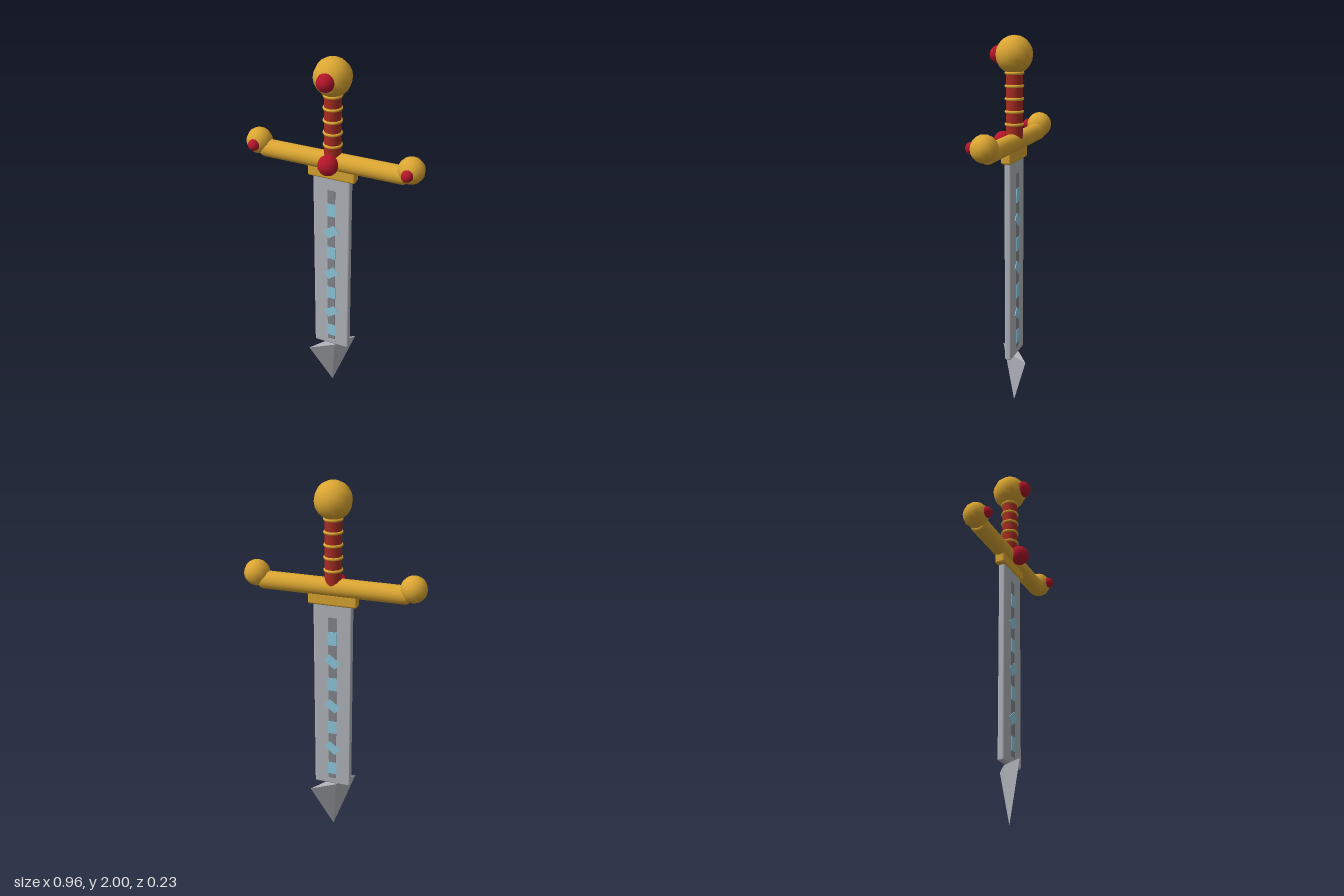
import * as THREE from 'three';
import { RoundedBoxGeometry } from 'three/addons/geometries/RoundedBoxGeometry.js';

const mat = (color) => new THREE.MeshStandardMaterial({ color });

export function createModel() {
  const sword = new THREE.Group();
  sword.name = 'sword';
  const gold = mat(0xdba632), red = mat(0xb3152a), leather = mat(0xa82c22);
  const steel = mat(0xb2b6bd), darkSteel = mat(0x85888f), blue = mat(0x8fcbe0);
  const Z = -0.014; // depth of the sword's axis

  const add = (name, geometry, material, x, y, z = Z) => {
    const mesh = new THREE.Mesh(geometry, material);
    mesh.name = name;
    mesh.position.set(x, y, z);
    sword.add(mesh);
    return mesh;
  };
  const ball = (name, r, material, x, y, z) =>
    add(name, new THREE.SphereGeometry(r, 12, 10), material, x, y, z);

  // Blade with a raised central strip on both faces
  add('blade', new RoundedBoxGeometry(0.206, 1.1, 0.037, 2, 0.01), steel, 0, 0.84);
  add('fuller', new RoundedBoxGeometry(0.046, 0.98, 0.041, 1, 0.004), darkSteel, 0, 0.82);

  // Inlaid tiles, every second one turned
  for (let i = 0; i < 7; i++) {
    const tile = add('inlayTile', new THREE.BoxGeometry(0.049, 0.075, 0.045), blue, 0, 1.192 - i * 0.1325);
    if (i % 2) tile.rotation.z = -0.9;
  }

  // Flattened four-sided point, set diagonally to the blade
  const point = new THREE.ConeGeometry(0.143, 0.29, 4).toNonIndexed();
  point.computeVertexNormals();
  point.rotateX(Math.PI);
  point.scale(1, 1, 0.2);
  point.rotateY(Math.PI / 4);
  add('bladePoint', point, steel, 0, 0.145);

  // Collar and crossguard with bevelled ends
  add('collar', new RoundedBoxGeometry(0.26, 0.065, 0.055, 2, 0.012), gold, 0, 1.405);
  const bar = new THREE.LatheGeometry(
    [[0, -0.39], [0.035, -0.39], [0.043, -0.386], [0.047, -0.375],
     [0.047, 0.375], [0.043, 0.386], [0.035, 0.39], [0, 0.39]]
      .map(([r, y]) => new THREE.Vector2(r, y)), 20);
  bar.rotateZ(Math.PI / 2);
  add('crossguard', bar, gold, 0, 1.468);
  ball('crossguardGem', 0.053, red, 0, 1.47, 0.045);

  // Guard ends with their gems
  for (const side of [-1, 1]) {
    ball('guardEnd', 0.068, gold, side * 0.41, 1.502, Z);
    ball('guardEndGem', 0.03, red, side * 0.41, 1.502, 0.05);
  }

  // Grip with wire rings
  add('grip', new THREE.CylinderGeometry(0.043, 0.043, 0.36, 20), leather, 0, 1.66);
  for (let i = 0; i < 5; i++) {
    const ring = add('gripRing', new THREE.TorusGeometry(0.042, 0.008, 8, 24), gold, 0, 1.56 + i * 0.064);
    ring.rotation.x = Math.PI / 2;
  }

  // Pommel
  ball('pommel', 0.095, gold, 0, 1.905, Z);
  ball('pommelGem', 0.045, red, 0, 1.905, 0.07);
  return sword;
}
